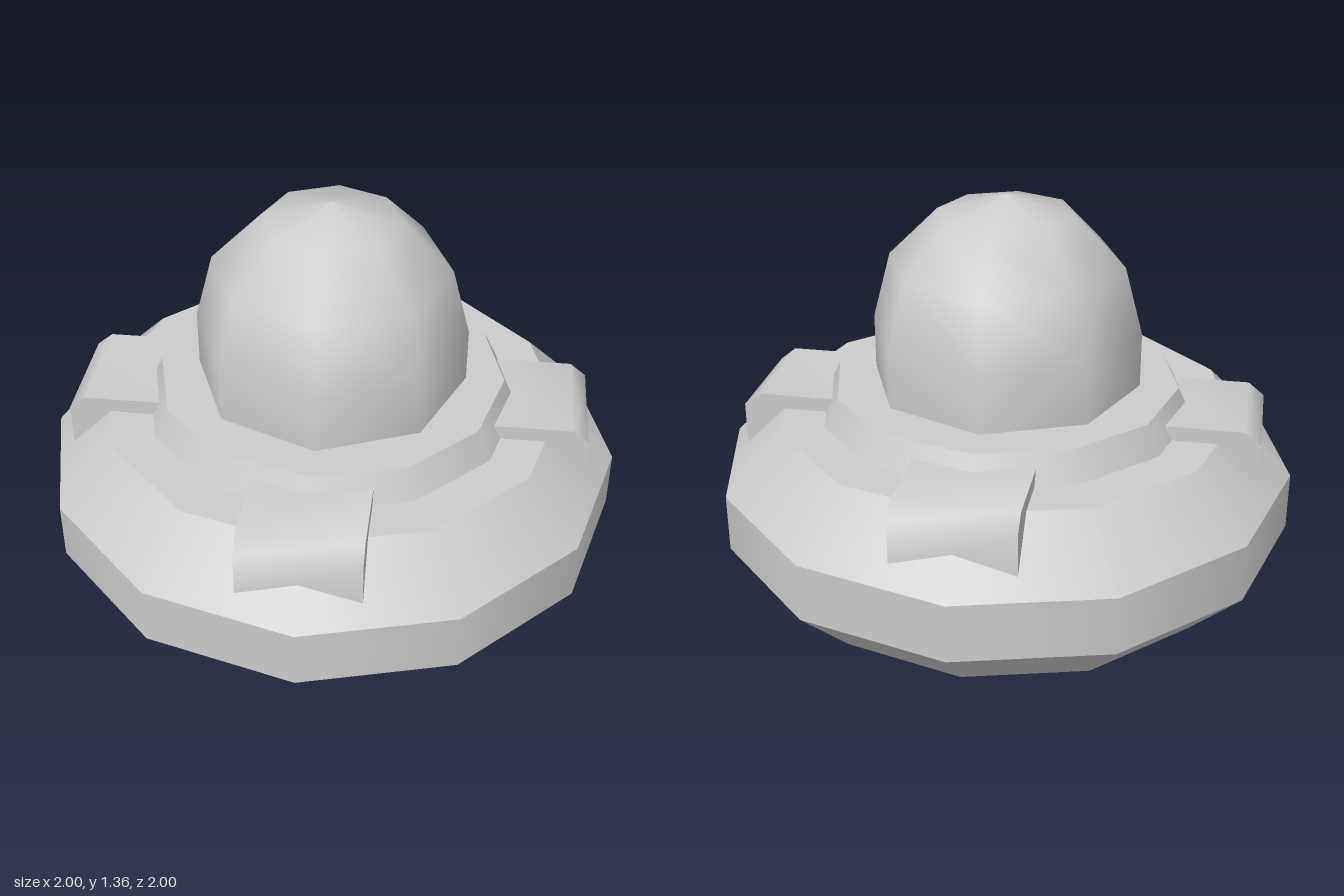
import * as THREE from 'three';
import { toCreasedNormals } from 'three/addons/utils/BufferGeometryUtils.js';

export function createModel() {
  const model = new THREE.Group();
  model.name = 'saucer';
  const material = new THREE.MeshStandardMaterial({ color: 0xcccccc });

  function add(name, geometry, parent = model) {
    const mesh = new THREE.Mesh(geometry, material);
    mesh.name = name;
    parent.add(mesh);
    return mesh;
  }

  // Twelve-sided band: smooth around, sharp where it meets its neighbours
  function band(name, y0, r0, y1, r1) {
    const geometry = new THREE.CylinderGeometry(r1, r0, y1 - y0, 12, 1, true);
    add(name, geometry.translate(0, (y0 + y1) / 2, 0));
  }

  // Flat twelve-sided cap, facing up or down
  function cap(name, y, r, up) {
    const geometry = new THREE.CircleGeometry(r, 12).rotateX(up ? -Math.PI / 2 : Math.PI / 2);
    add(name, geometry.translate(0, y, 0));
  }

  // Hull
  band('hullUnderside', 0, 0.8, 0.2, 1);
  band('hullRim', 0.2, 1, 0.4, 1);
  band('hullShoulder', 0.4, 1, 0.6, 0.8);
  cap('hullFloor', 0, 0.8, false);
  cap('hullDeck', 0.6, 0.8, true);

  // Collar under the dome
  band('collarSide', 0.6, 0.65, 0.7, 0.6);
  cap('collarTop', 0.7, 0.6, true);

  // Eight-sided dome: a short upright wall topped by a hemisphere
  const domeRadius = 0.467;
  const profile = [new THREE.Vector2(domeRadius, 0.7)];
  for (let i = 0; i <= 3; i++) {
    const a = (i * Math.PI) / 6;
    profile.push(new THREE.Vector2(i === 3 ? 0 : domeRadius * Math.cos(a), 0.89 + domeRadius * Math.sin(a)));
  }
  add('dome', new THREE.LatheGeometry(profile, 8));

  // Four pods set into the shoulder, each with a softened outer top edge
  const podShape = new THREE.Shape([
    new THREE.Vector2(0.5, 0.42),
    new THREE.Vector2(0.89, 0.42),
    new THREE.Vector2(0.89, 0.605),
    new THREE.Vector2(0.835, 0.65),
    new THREE.Vector2(0.5, 0.65),
  ]);
  const podGeometry = toCreasedNormals(
    new THREE.ExtrudeGeometry(podShape, { depth: 0.4, bevelEnabled: false }).translate(0, 0, -0.2),
    1
  );
  const pods = new THREE.Group();
  pods.name = 'pods';
  model.add(pods);
  ['leftPod', 'backPod', 'rightPod', 'frontPod'].forEach((name, i) => {
    add(name, podGeometry, pods).rotation.y = (i * Math.PI) / 2;
  });

  return model;
}
